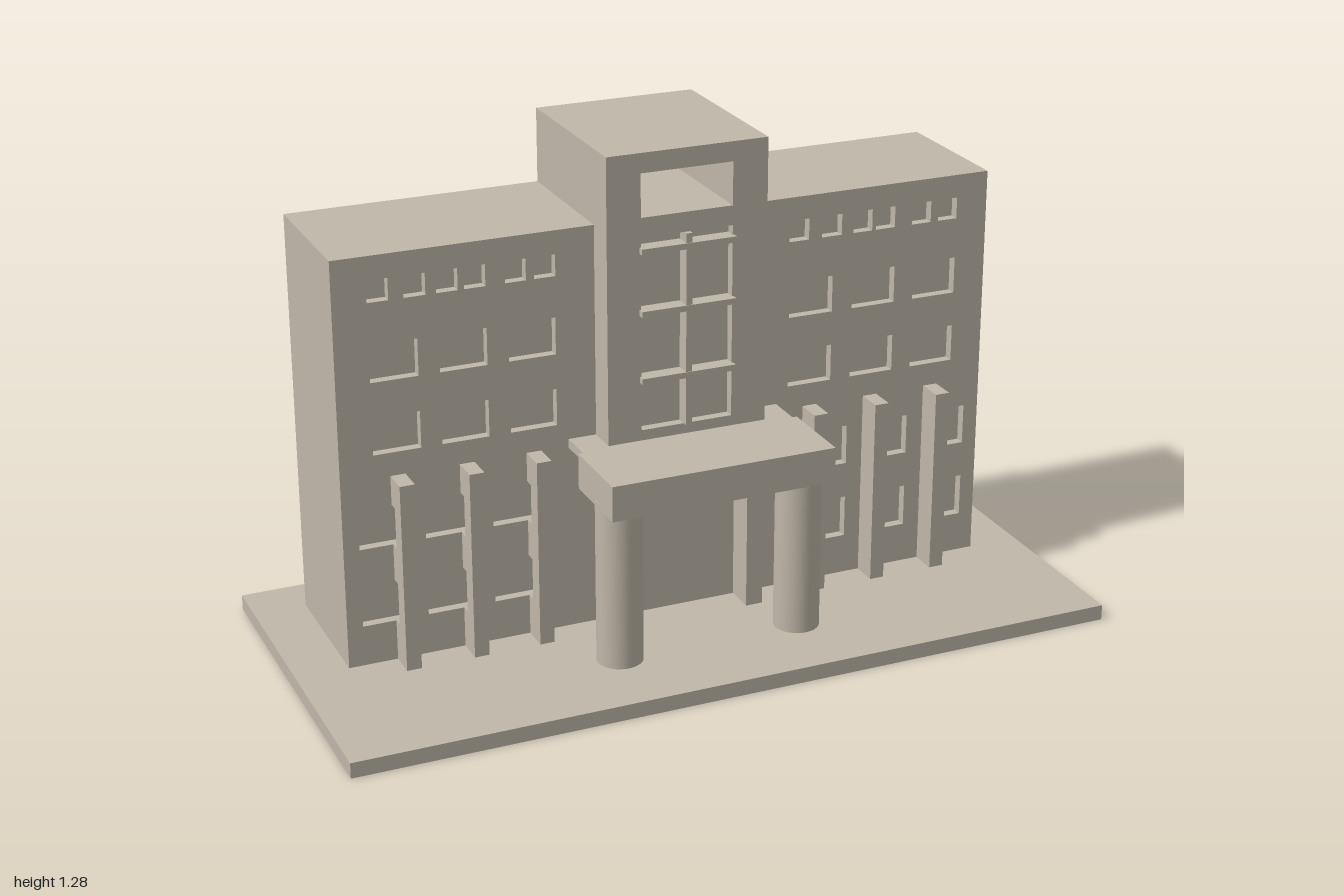
import * as THREE from 'three';

const stone = new THREE.MeshStandardMaterial({ color: 0xc0b7a9 });
stone.name = 'warm grey stone';

function add(parent, name, geometry) {
  const mesh = new THREE.Mesh(geometry, stone);
  mesh.name = name;
  parent.add(mesh);
  return mesh;
}

// Box given by its limits on each axis
function box(parent, name, x0, x1, y0, y1, z0, z1) {
  const g = new THREE.BoxGeometry(Math.abs(x1 - x0), y1 - y0, z1 - z0);
  g.translate((x0 + x1) / 2, (y0 + y1) / 2, (z0 + z1) / 2);
  return add(parent, name, g);
}

const rect = (x0, x1, y0, y1) =>
  [[x0, y0], [x1, y0], [x1, y1], [x0, y1]].map(p => new THREE.Vector2(...p));

// Wall slab with rectangular openings
function wall(parent, name, outline, holes, z0, z1) {
  const shape = new THREE.Shape(outline);
  for (const h of holes) shape.holes.push(new THREE.Path(rect(...h)));
  const g = new THREE.ExtrudeGeometry(shape, { depth: z1 - z0, bevelEnabled: false });
  g.translate(0, 0, z0);
  return add(parent, name, g);
}

const GROUND = 0.04, BACK = -0.35, FACE = 0.025, RECESS = 0;
const lowRows = [[0.145, 0.255], [0.35, 0.455]];
const highRows = [[0.59, 0.685], [0.775, 0.87]];
const lowWindows = [[0.36, 0.483], [0.53, 0.657], [0.705, 0.825]];
const highWindows = [[0.312, 0.432], [0.487, 0.607], [0.66, 0.78]];
const topWindows = {
  '-1': [[0.31, 0.364], [0.385, 0.438], [0.487, 0.54], [0.556, 0.61], [0.636, 0.69], [0.727, 0.78]],
  '1': [[0.31, 0.364], [0.40, 0.455], [0.487, 0.54], [0.55, 0.604], [0.652, 0.706], [0.727, 0.78]],
};

// One wing with recessed windows and notched fins; s is the side
function wing(s) {
  const group = new THREE.Group();
  group.name = s > 0 ? 'leftWing' : 'rightWing';
  const span = (a, b) => (s > 0 ? [a, b] : [-b, -a]);
  box(group, 'wingBlock', ...span(0.21, 0.865), GROUND, 1.09, BACK, RECESS);

  const holes = [];
  const punch = (cols, rows) => {
    for (const c of cols) for (const r of rows) holes.push([...span(...c), ...r]);
  };
  punch(lowWindows, lowRows);
  punch(highWindows, highRows);
  punch(topWindows[s], [[0.975, 1.03]]);
  wall(group, 'wingFacade', rect(...span(0.21, 0.865), GROUND, 1.09), holes, RECESS, FACE);

  // Fins, cut away behind where the window openings pass
  for (const x of [0.355, 0.527, 0.702]) {
    const fin = new THREE.Group();
    fin.name = 'fin';
    group.add(fin);
    box(fin, 'finFront', ...span(x, x + 0.038), GROUND, 0.53, 0.05, 0.095);
    for (const [a, b] of [[GROUND, 0.145], [0.255, 0.35], [0.455, 0.53]])
      box(fin, 'finBack', ...span(x, x + 0.038), a, b, FACE, 0.05);
    for (const r of lowRows)
      box(fin, 'finSkin', ...span(x, x + 0.005), ...r, FACE, 0.05);
  }
  return group;
}

// Central tower with a top opening, tall window and entrance
function tower() {
  const group = new THREE.Group();
  group.name = 'tower';
  const topHole = [-0.122, 0.118, 1.12, 1.23];
  const notched = [[-0.21, GROUND], [-0.165, GROUND], [-0.165, 0.525], [0.165, 0.525],
    [0.165, GROUND], [0.21, GROUND], [0.21, 1.28], [-0.21, 1.28]].map(p => new THREE.Vector2(...p));
  wall(group, 'towerBlock', rect(-0.21, 0.21, GROUND, 1.28), [topHole], BACK, FACE);
  wall(group, 'entranceLayer', notched, [topHole], FACE, 0.08);
  wall(group, 'towerFacade', notched, [topHole, [-0.122, 0.118, 0.575, 1.07]], 0.08, 0.105);

  // Window bars
  box(group, 'mullion', -0.01, 0.006, 0.575, 1.07, 0.08, 0.119);
  for (const y of [0.7, 0.873, 1.031])
    box(group, 'windowBar', -0.126, 0.122, y, y + 0.015, 0.08, 0.121);
  return group;
}

// Entrance canopy on two round columns
function porch() {
  const group = new THREE.Group();
  group.name = 'porch';
  box(group, 'canopy', -0.295, 0.292, 0.457, 0.548, 0.12, 0.335);
  box(group, 'canopyLink', -0.283, 0.28, 0.525, 0.548, FACE, 0.12);
  for (const s of [-1, 1]) {
    const g = new THREE.CylinderGeometry(0.058, 0.058, 0.432, 40);
    g.translate(s * 0.24, GROUND + 0.216, 0.241);
    add(group, 'column', g);
  }
  return group;
}

export function createModel() {
  const model = new THREE.Group();
  model.name = 'building';
  box(model, 'basePlate', -1, 1, 0, GROUND, -0.467, 0.467);
  model.add(wing(-1), wing(1), tower(), porch());
  return model;
}
